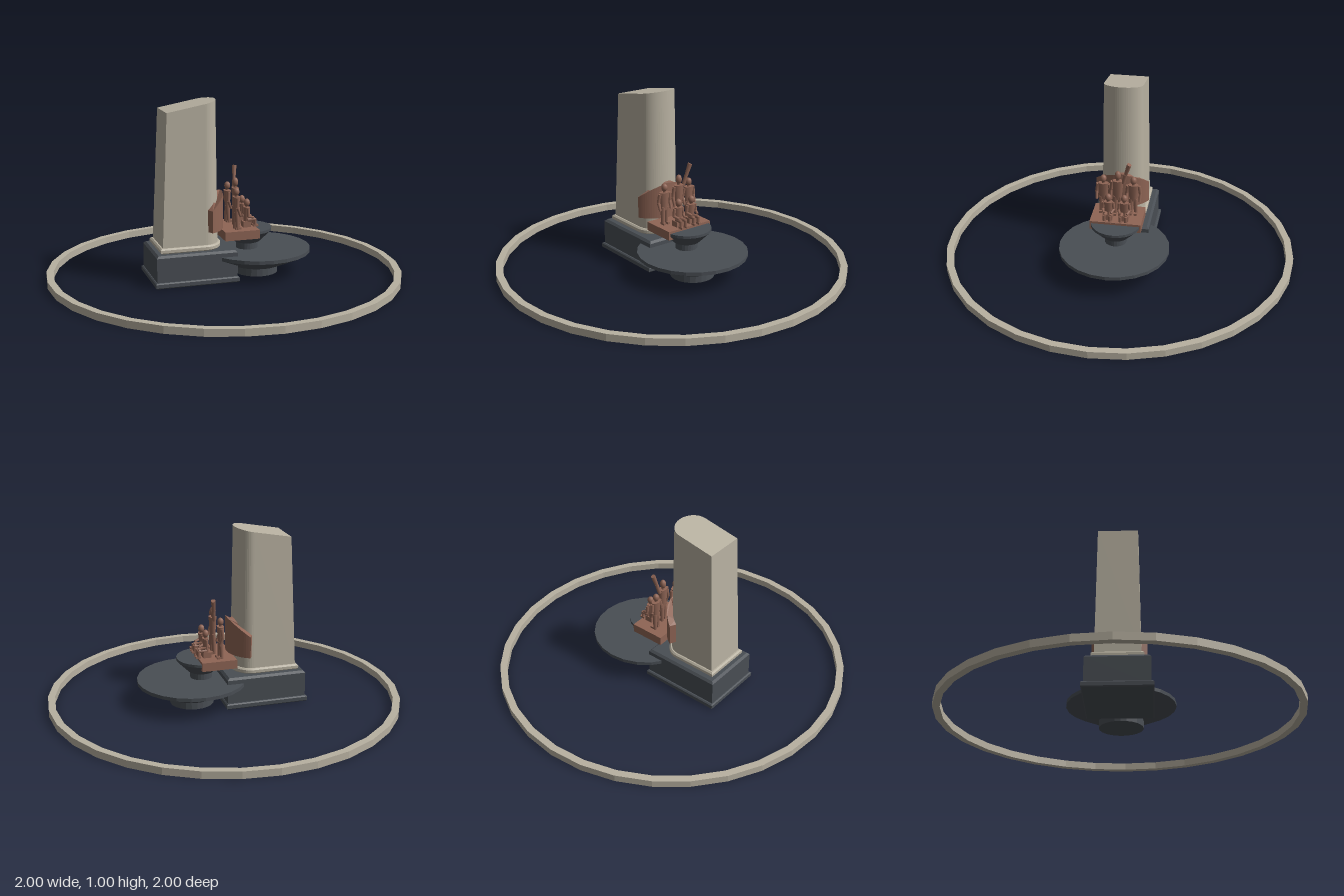
import * as THREE from 'three';

const mat = (name, color) => {
  const m = new THREE.MeshStandardMaterial({ color });
  m.name = name;
  return m;
};

export function createModel() {
  const root = new THREE.Group();
  root.name = 'monument';
  const stone = mat('pale stone', 0xb8b1a1);
  const granite = mat('dark granite', 0x494e54);
  const bronze = mat('bronze', 0x8f6555);

  const add = (name, geo, material, x = 0, y = 0, z = 0, parent = root) => {
    const m = new THREE.Mesh(geo, material);
    m.name = name;
    m.position.set(x, y, z);
    parent.add(m);
    return m;
  };
  const flat = (g) => {
    const n = g.index ? g.toNonIndexed() : g;
    n.computeVertexNormals();
    return n;
  };
  // Extrude a ground-plan shape upwards from y = 0, with an optional chamfer
  const rise = (shape, height, bevel = 0) => {
    const g = new THREE.ExtrudeGeometry(shape, {
      depth: height - 2 * bevel, curveSegments: 14, bevelEnabled: bevel > 0,
      bevelSize: bevel, bevelThickness: bevel, bevelOffset: -bevel, bevelSegments: 1,
    });
    return g.translate(0, 0, bevel).rotateX(-Math.PI / 2);
  };
  const rect = (x0, x1, z) => new THREE.Shape([
    new THREE.Vector2(x0, -z), new THREE.Vector2(x1, -z),
    new THREE.Vector2(x1, z), new THREE.Vector2(x0, z)]);
  // Plan with a square back and a rounded front
  const roundFront = (x0, xm, x1, z) => {
    const s = new THREE.Shape();
    s.moveTo(x0, -z);
    s.lineTo(xm, -z);
    s.absellipse(xm, 0, x1 - xm, z, -Math.PI / 2, Math.PI / 2, false);
    s.lineTo(x0, z);
    s.closePath();
    return s;
  };
  const lathe = (profile, sides) => flat(new THREE.LatheGeometry(
    profile.map(([r, y]) => new THREE.Vector2(r, y)), sides));

  // Ground ring
  add('groundRing', lathe([[0.96, 0], [1, 0], [1, 0.04], [0.96, 0.04], [0.96, 0]], 32), stone);

  // Plinth
  add('plinthFoot', rise(rect(-0.44, 0.035, 0.186), 0.032, 0.006), granite);
  add('plinth', rise(rect(-0.43, 0.027, 0.172), 0.18, 0.012), granite);

  // Tower: tapered towards the top, with a sloping roof
  add('towerMoulding', rise(roundFront(-0.4, -0.14, -0.03, 0.137), 0.032, 0.008), stone, 0, 0.178);
  const tower = rise(roundFront(-0.385, -0.14, -0.045, 0.122), 1);
  const p = tower.attributes.position;
  for (let i = 0; i < p.count; i++) {
    const t = p.getY(i);
    const u = (p.getX(i) + 0.385) / 0.34;
    p.setXYZ(i, THREE.MathUtils.lerp(p.getX(i), -0.352 + 0.296 * u, t),
      0.2 + t * (0.75 + 0.055 * u), p.getZ(i) * (1 - 0.1 * t));
  }
  tower.computeVertexNormals();
  add('tower', tower, stone);

  // Lower and upper bowls
  add('lowerBowl', lathe([[0, 0], [0.125, 0], [0.125, 0.045], [0.15, 0.05], [0.31, 0.125],
    [0.31, 0.145], [0, 0.145]], 24), granite, 0.19);
  add('upperBowl', lathe([[0, 0.14], [0.062, 0.14], [0.062, 0.18], [0.075, 0.185], [0.14, 0.25],
    [0.14, 0.265], [0, 0.265]], 24), granite, 0.135);

  // Curved relief wall, higher in the middle
  const wall = new THREE.Shape();
  const a = THREE.MathUtils.degToRad(64);
  wall.absarc(0, 0, 0.17, -a, a, false);
  wall.absarc(0, 0, 0.128, a, -a, true);
  wall.closePath();
  const relief = rise(wall, 1);
  const q = relief.attributes.position;
  for (let i = 0; i < q.count; i++) {
    const angle = Math.atan2(q.getZ(i), q.getX(i));
    const top = 0.405 + 0.08 * Math.cos(angle / a * Math.PI / 2);
    q.setY(i, q.getY(i) > 0.5 ? top : 0.282);
  }
  relief.computeVertexNormals();
  add('reliefWall', relief, bronze, -0.185);

  // Platform for the figures
  add('figurePlatform', new THREE.BoxGeometry(0.2, 0.05, 0.29), bronze, 0.065, 0.253);

  // Tapered limb between two points
  const up = new THREE.Vector3(0, 1, 0);
  const limb = (parent, name, from, to, r0, r1, squash = 1) => {
    const s = new THREE.Vector3(...from);
    const d = new THREE.Vector3(...to).sub(s);
    const m = add(name, new THREE.CylinderGeometry(r1, r0, d.length(), 8), bronze, 0, 0, 0, parent);
    m.position.copy(s).addScaledVector(d, 0.5);
    m.quaternion.setFromUnitVectors(up, d.normalize());
    m.scale.x = squash;
  };
  const head = (parent, x, y) => {
    limb(parent, 'neck', [x, y - 0.035, 0], [x, y - 0.01, 0], 0.009, 0.009);
    add('head', new THREE.SphereGeometry(0.018, 10, 8), bronze, x, y, 0, parent).scale.y = 1.25;
  };
  const figure = (name, x, z) => {
    const g = new THREE.Group();
    g.name = name;
    g.position.set(x, 0.278, z);
    root.add(g);
    return g;
  };

  // Standing figures; the middle one is taller and raises an arm
  for (const [x, z, k, raised] of [[0.045, 0.085, 1, 0], [0.045, -0.085, 1, 0], [0.065, 0, 1.17, 1]]) {
    const g = figure('standingFigure', x, z);
    g.scale.set(1, k, 1);
    limb(g, 'torso', [0, 0.085, 0], [0, 0.186, 0], 0.021, 0.032, 0.65);
    head(g, 0, 0.213);
    for (const s of [-1, 1]) {
      limb(g, 'leg', [0.004 * s, 0, 0.014 * s], [0, 0.1, 0.011 * s], 0.01, 0.014);
      add('foot', new THREE.BoxGeometry(0.032, 0.012, 0.016), bronze, 0.008, 0.006, 0.014 * s, g);
      if (raised && s < 0) {
        limb(g, 'raisedArm', [0, 0.175, -0.03], [0.008, 0.225, -0.045], 0.011, 0.01);
        limb(g, 'raisedTorch', [0.006, 0.215, -0.042], [0.016, 0.283, -0.066], 0.009, 0.013);
      } else {
        limb(g, 'upperArm', [0, 0.18, 0.032 * s], [-0.004, 0.13, 0.039 * s], 0.01, 0.009);
        limb(g, 'forearm', [-0.004, 0.13, 0.039 * s], [0.012, 0.085, 0.037 * s], 0.009, 0.007);
      }
    }
  }

  // Seated figures
  for (const z of [0.045, -0.045]) {
    const g = figure('seatedFigure', 0.12, z);
    add('seat', new THREE.BoxGeometry(0.045, 0.032, 0.05), bronze, -0.004, 0.016, 0, g);
    limb(g, 'torso', [-0.004, 0.03, 0], [0, 0.112, 0], 0.02, 0.027, 0.7);
    head(g, 0, 0.137);
    for (const s of [-1, 1]) {
      limb(g, 'thigh', [0, 0.04, 0.012 * s], [0.044, 0.042, 0.016 * s], 0.012, 0.01);
      limb(g, 'shin', [0.044, 0.045, 0.016 * s], [0.044, 0, 0.016 * s], 0.009, 0.009);
      add('foot', new THREE.BoxGeometry(0.028, 0.011, 0.015), bronze, 0.047, 0.006, 0.016 * s, g);
      limb(g, 'upperArm', [0, 0.106, 0.027 * s], [0, 0.062, 0.032 * s], 0.009, 0.008);
      limb(g, 'forearm', [0, 0.064, 0.032 * s], [0.033, 0.054, 0.02 * s], 0.008, 0.007);
    }
  }
  return root;
}
